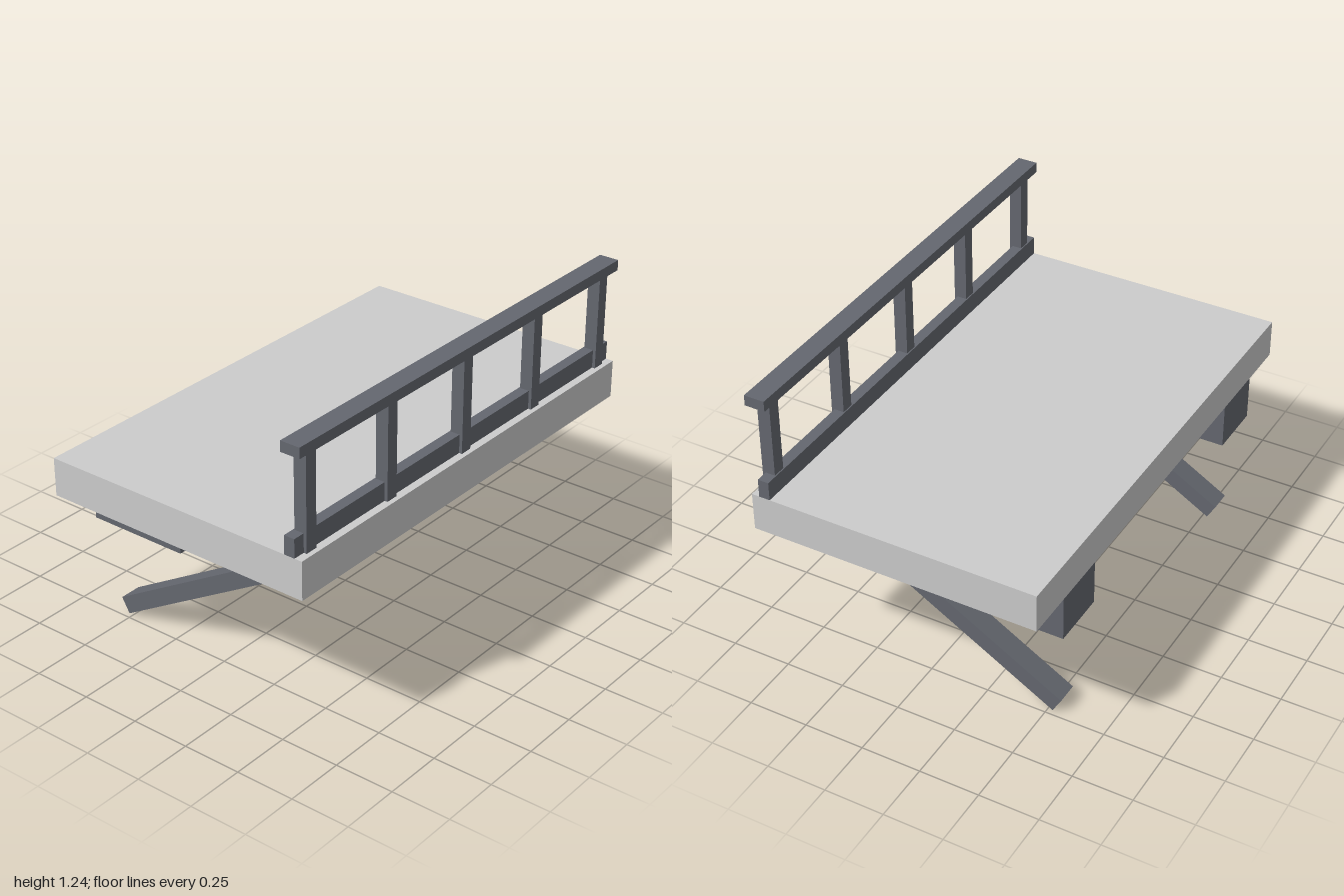
import * as THREE from 'three';

export function createModel() {
  const model = new THREE.Group();
  model.name = 'balcony';
  const pale = new THREE.MeshStandardMaterial({ color: 0xcccccc });
  const dark = new THREE.MeshStandardMaterial({ color: 0x64676f });

  // Box given by its extents on each axis
  function box(name, material, [x0, x1], [y0, y1], [z0, z1]) {
    const mesh = new THREE.Mesh(new THREE.BoxGeometry(x1 - x0, y1 - y0, z1 - z0), material);
    mesh.position.set((x0 + x1) / 2, (y0 + y1) / 2, (z0 + z1) / 2);
    mesh.name = name;
    model.add(mesh);
    return mesh;
  }

  // Floor slab
  box('floorSlab', pale, [-1, 1], [0.635, 0.795], [-0.6, 0.6]);

  // Railing along the front edge
  box('kickBoard', dark, [-1, 1], [0.795, 0.873], [0.521, 0.567]);
  box('handRail', dark, [-1, 1], [1.196, 1.24], [0.51, 0.595]);
  for (let i = -2; i <= 2; i++) {
    const x = i * 0.461;
    box('railPost', dark, [x - 0.027, x + 0.027], [0.795, 1.196], [0.526, 0.58]);
  }

  // Support blocks and slanted struts below the slab
  for (const side of [-1, 1]) {
    const x = side * 0.68;
    box('supportBlock', dark, [x - 0.12, x + 0.12], [0.447, 0.635], [-0.6, -0.16]);

    const strut = new THREE.Mesh(new THREE.BoxGeometry(0.094, 0.072, 1.11), dark);
    strut.name = 'strut';
    strut.position.set(x, 0.311, -0.0585);
    strut.rotation.x = -0.528;
    model.add(strut);
  }

  return model;
}
